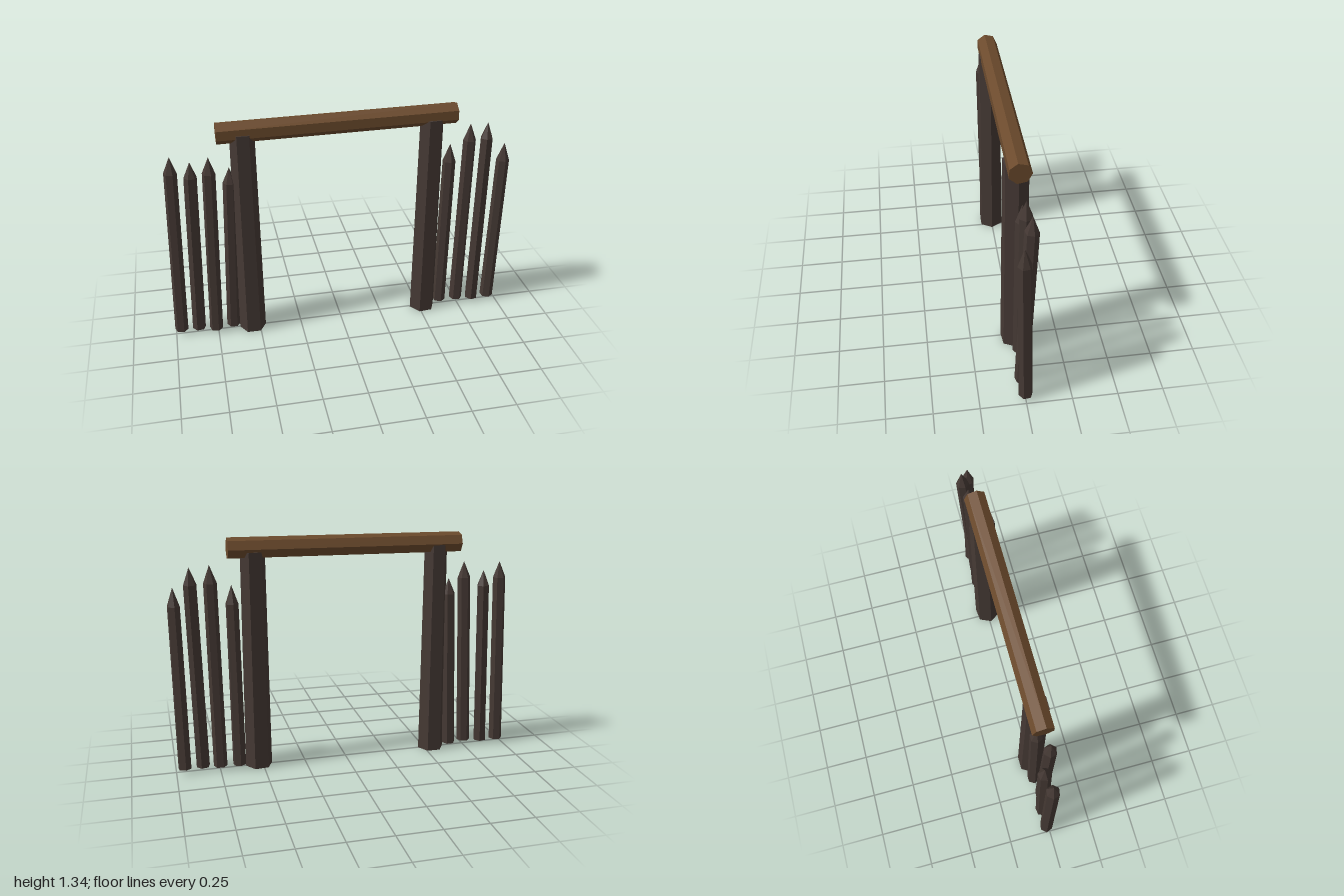
import * as THREE from 'three';

const darkWood = new THREE.MeshStandardMaterial({ color: 0x453934 });
const brownWood = new THREE.MeshStandardMaterial({ color: 0x6b4a2c });
darkWood.name = 'darkWood';
brownWood.name = 'brownWood';

const UP = new THREE.Vector3(0, 1, 0);

// Faceted log running from a to b, optionally with a sharpened end
function log(name, a, b, rBottom, rTop, sides, turn, material, tipLength = 0) {
  const from = new THREE.Vector3(...a);
  const axis = new THREE.Vector3(...b).sub(from);
  const length = axis.length();
  const shaft = length - tipLength;

  const profile = [new THREE.Vector2(0, 0), new THREE.Vector2(rBottom, 0), new THREE.Vector2(rTop, shaft)];
  profile.push(new THREE.Vector2(0, length));
  const geometry = new THREE.LatheGeometry(profile, sides, turn).toNonIndexed();
  geometry.computeVertexNormals();

  const mesh = new THREE.Mesh(geometry, material);
  mesh.name = name;
  mesh.position.copy(from);
  mesh.quaternion.setFromUnitVectors(UP, axis.normalize());
  return mesh;
}

export function createModel() {
  const model = new THREE.Group();
  model.name = 'palisadeGate';

  // Gate posts: tapered hexagonal logs
  model.add(log('rightPost', [-0.542, 0, 0.002], [-0.54, 1.26, 0.002], 0.078, 0.068, 6, Math.PI / 6, darkWood));
  model.add(log('leftPost', [0.522, 0, 0.002], [0.522, 1.26, 0.002], 0.078, 0.07, 6, Math.PI / 6 + 0.1, darkWood));

  // Slightly sloping seven-sided lintel
  const lintel = log('lintel', [-0.68, 1.265, 0], [0.66, 1.28, 0], 0.06, 0.06, 7, 0, brownWood);
  // one corner just in front of the top
  lintel.rotateY(-Math.PI / 2 + 0.19);
  model.add(lintel);

  // Sharpened stakes: base x, base z, tip x, tip y, tip z, tip length, turn
  const stakes = [
    [-0.967, -0.015, -0.934, 1.143, -0.017, 0.095, 0.35],
    [-0.863, -0.012, -0.83, 1.097, -0.03, 0.09, 0.7],
    [-0.762, 0.012, -0.73, 1.143, 0.03, 0.095, 0.3],
    [-0.657, -0.008, -0.62, 1.055, -0.012, 0.09, 0.5],
    [0.638, -0.015, 0.646, 1.083, -0.015, 0.105, 0.1],
    [0.748, -0.012, 0.761, 1.198, -0.015, 0.1, 0.4],
    [0.846, 0.005, 0.871, 1.192, -0.028, 0.095, 0.75],
    [0.951, -0.002, 0.961, 1.077, 0.023, 0.105, 0.12],
  ];
  stakes.forEach(([x, z, tipX, tipY, tipZ, tip, turn], i) => {
    model.add(log(`stake${i + 1}`, [x, 0.022, z], [tipX, tipY, tipZ], 0.039, 0.037, 6, turn, darkWood, tip));
  });

  return model;
}
